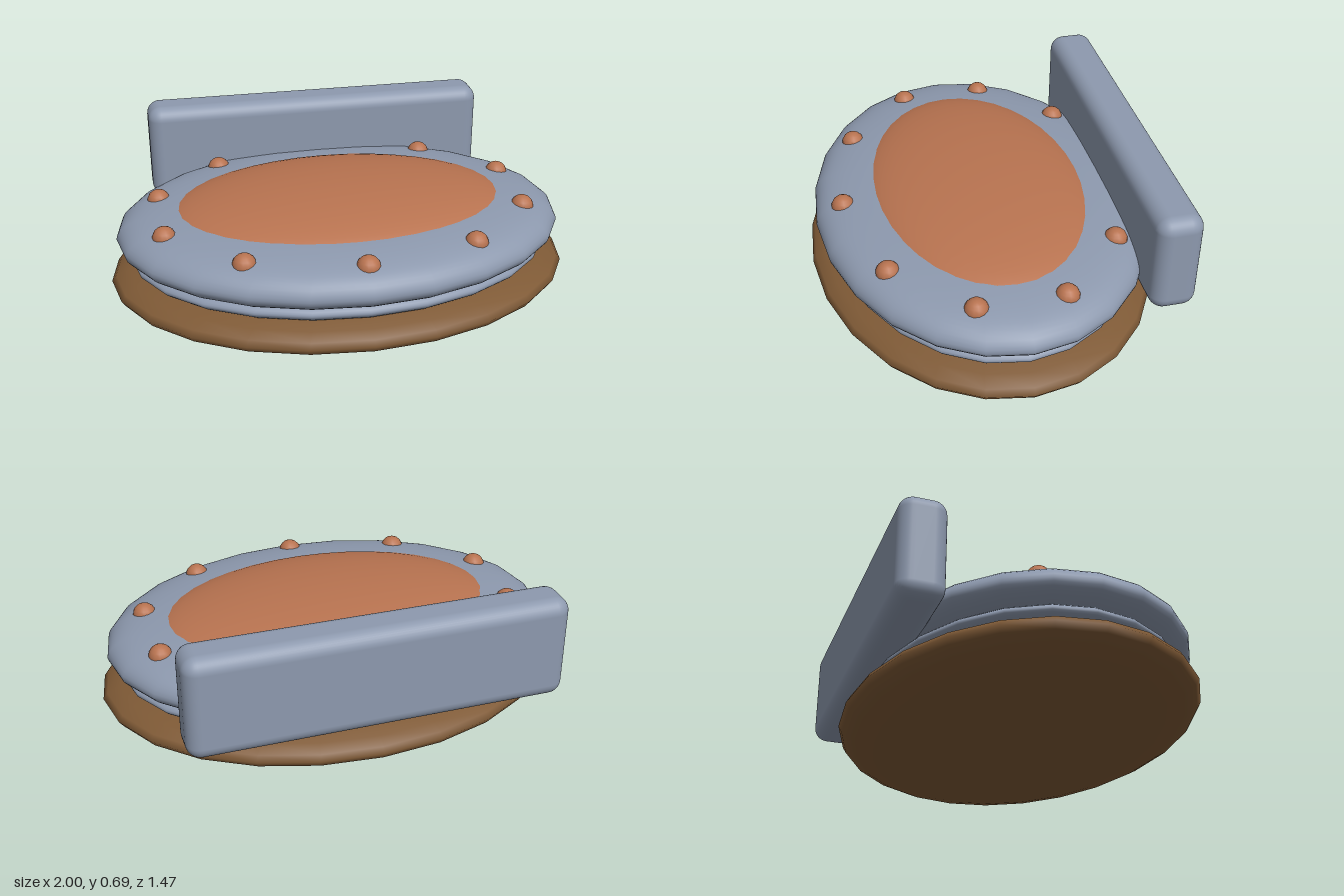
import * as THREE from 'three';
import { RoundedBoxGeometry } from 'three/addons/geometries/RoundedBoxGeometry.js';

const steel = new THREE.MeshStandardMaterial({ color: 0x8d99ae });
const copper = new THREE.MeshStandardMaterial({ color: 0xb87350 });
const leather = new THREE.MeshStandardMaterial({ color: 0x7f5a36 });

export function createModel() {
  const model = new THREE.Group();

  const add = (name, geometry, material, position, scale = [1, 1, 1]) => {
    const mesh = new THREE.Mesh(geometry, material);
    mesh.name = name;
    mesh.position.set(...position);
    mesh.scale.set(...scale);
    model.add(mesh);
  };

  // Oval disc turned from a smooth profile
  const ovalDisc = (points, divisions) => {
    const curve = new THREE.SplineCurve(points.map(([x, y]) => new THREE.Vector2(x, y)));
    const profile = curve.getPoints(divisions);
    return new THREE.LatheGeometry(
      [new THREE.Vector2(0, profile[0].y), ...profile, new THREE.Vector2(0, profile.at(-1).y)], 24);
  };

  // Flattened cushion at the bottom
  add('base', new THREE.SphereGeometry(1, 24, 16), leather, [0, 0.133, 0], [1, 0.133, 0.735]);

  // Narrow band between base and rim
  add('middleBand', ovalDisc([[0.84, 0.19], [0.89, 0.213], [0.91, 0.235], [0.89, 0.257], [0.84, 0.275]], 12),
    steel, [0, 0, 0], [1, 1, 0.714]);

  // Broad rounded rim
  add('rim', ovalDisc([[0.8, 0.25], [0.88, 0.266], [0.94, 0.295], [0.965, 0.33], [0.947, 0.37],
    [0.9, 0.402], [0.83, 0.423], [0.73, 0.438], [0.6, 0.448], [0.45, 0.45]], 24),
    steel, [0, 0, 0], [1, 1, 0.73]);

  // Shallow dome in the centre
  add('dome', new THREE.SphereGeometry(1, 36, 24), copper, [0, 0.4, 0], [0.745, 0.117, 0.483]);

  // Ten rivets evenly spaced round the rim
  const rivet = new THREE.SphereGeometry(0.05, 14, 10);
  for (let i = 0; i < 10; i++) {
    const a = Math.PI / 2 + (i * Math.PI) / 5;
    add(`rivet${i + 1}`, rivet, copper, [0.81 * Math.cos(a), 0.412, 0.585 * Math.sin(a)]);
  }

  // Upright block across the back
  add('backBlock', new RoundedBoxGeometry(1.56, 0.44, 0.195, 4, 0.06), steel, [0, 0.468, -0.632]);

  return model;
}
